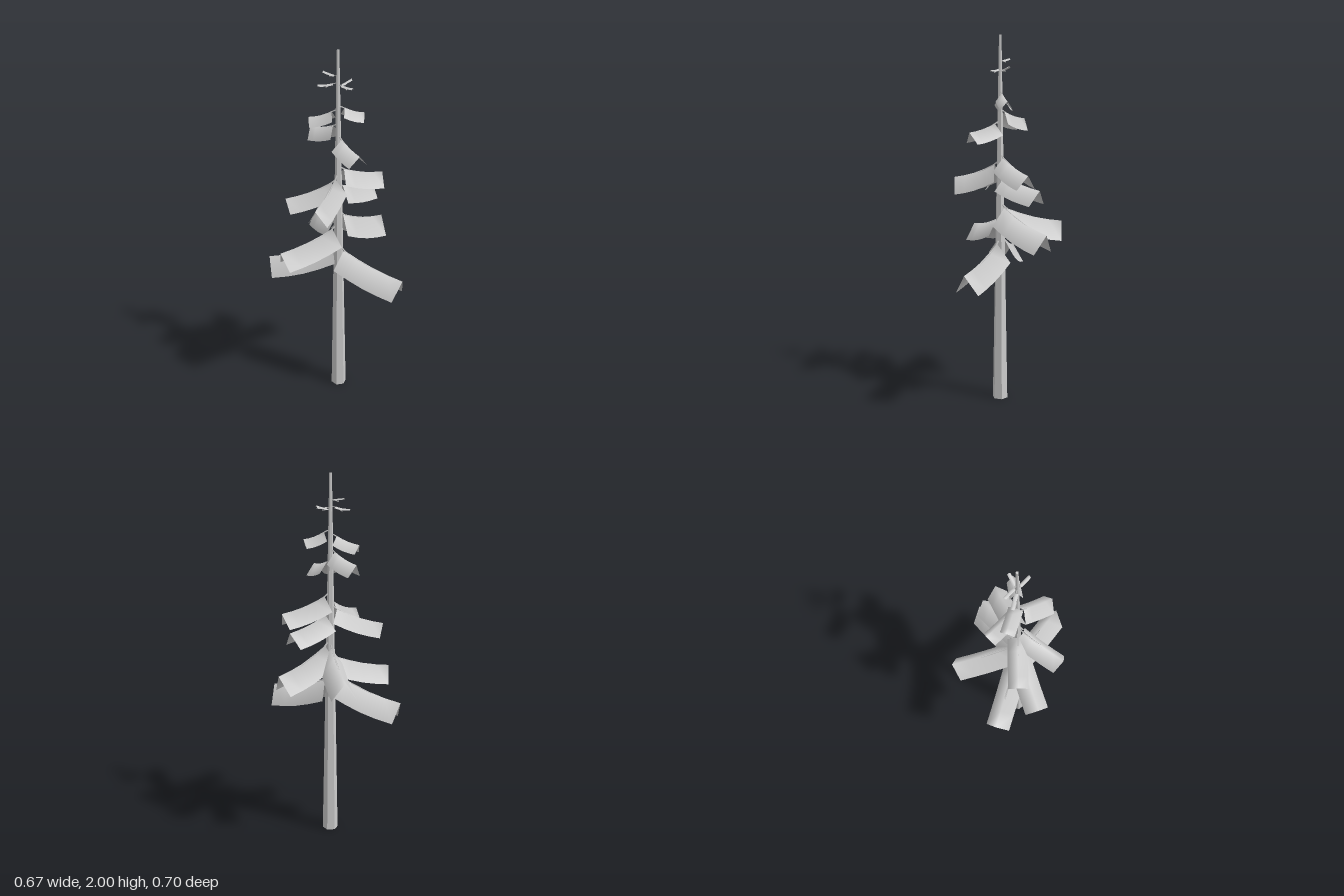
import * as THREE from 'three';

const material = new THREE.MeshStandardMaterial({ color: 0xcccccc, side: THREE.DoubleSide });
const barkMaterial = new THREE.MeshStandardMaterial({ color: 0xcccccc, flatShading: true });
const CX = -0.008, CZ = -0.022; // trunk axis

// Each branch: tip x, tip z, tip height, root height, half width, wing drop
const BRANCHES = [
  // lowest tier
  [0.118, 0.347, 0.79, 0.89, 0.067, 0.105],
  [-0.239, -0.341, 0.80, 0.93, 0.066, 0.10],
  // second tier
  [0.14, -0.352, 0.99, 1.08, 0.066, 0.10],
  [0.333, -0.033, 0.98, 1.09, 0.066, 0.10],
  [-0.334, -0.122, 0.94, 1.02, 0.065, 0.09],
  // third tier
  [0.268, -0.046, 1.205, 1.26, 0.06, 0.08],
  [0.263, 0.035, 1.29, 1.36, 0.056, 0.075],
  [-0.263, 0.083, 1.236, 1.32, 0.055, 0.09],
  [-0.237, -0.185, 1.21, 1.29, 0.053, 0.07],
  // upper tiers
  [-0.037, 0.17, 1.50, 1.54, 0.054, 0.06],
  [-0.026, -0.22, 1.555, 1.60, 0.041, 0.065],
  [-0.096, -0.152, 1.64, 1.68, 0.037, 0.045],
  [0.117, 0.043, 1.664, 1.70, 0.032, 0.045],
  // small crown sprigs
  [-0.076, -0.10, 1.82, 1.83, 0.010, 0.008],
  [0.074, -0.01, 1.84, 1.82, 0.009, 0.008],
  [0.013, 0.065, 1.82, 1.825, 0.009, 0.008],
  [-0.03, -0.11, 1.88, 1.87, 0.009, 0.008],
];

// Drooping bough: an inverted V swept along a sagging ridge, running along +z
function boughGeometry(length, tipY, rootY, half, drop) {
  const start = Math.min(0.035, length * 0.25), rows = 4;
  const pos = [], index = [];
  for (let i = 0; i <= rows; i++) {
    const t = i / rows;
    const r = start + (length - start) * t;
    const y = rootY + (tipY - rootY) * t - 0.12 * Math.abs(rootY - tipY + 0.02) * Math.sin(Math.PI * t);
    const back = r - drop * 0.28;
    pos.push(-half, y - drop, back, 0, y, r, half, y - drop, back);
    if (i < rows) {
      const a = i * 3;
      for (const k of [a, a + 1]) index.push(k, k + 3, k + 1, k + 1, k + 3, k + 4);
    }
  }
  const g = new THREE.BufferGeometry();
  g.setAttribute('position', new THREE.Float32BufferAttribute(pos, 3));
  g.setIndex(index);
  g.computeVertexNormals();
  return g;
}

// Thin twig from the trunk to below the ridge of the bough
function twigGeometry(length, tipY, rootY, half) {
  const a = new THREE.Vector3(0, rootY + 0.1 * half + (rootY - tipY) * 0.25, 0);
  const b = new THREE.Vector3(0, rootY - 0.006, Math.min(0.04, length * 0.3));
  const c = new THREE.Vector3(0, rootY + (tipY - rootY) * 0.6 - 0.018, length * 0.6);
  return new THREE.TubeGeometry(new THREE.CatmullRomCurve3([a, b, c]), 4, 0.002 + half * 0.05, 3);
}

export function createModel() {
  const group = new THREE.Group();
  group.name = 'conifer';

  // Tapered six-sided trunk
  const trunk = new THREE.Mesh(new THREE.CylinderGeometry(0.007, 0.0425, 2, 6), barkMaterial);
  trunk.name = 'trunk';
  trunk.position.set(CX, 1, CZ);
  group.add(trunk);

  // Boughs with their twigs, turned to face outwards
  BRANCHES.forEach(([x, z, tipY, rootY, half, drop], i) => {
    const dx = x - CX, dz = z - CZ, length = Math.hypot(dx, dz);
    const branch = new THREE.Group();
    branch.name = 'branch' + (i + 1);
    const bough = new THREE.Mesh(boughGeometry(length, tipY, rootY, half, drop), material);
    bough.name = 'bough';
    const twig = new THREE.Mesh(twigGeometry(length, tipY, rootY, half), material);
    twig.name = 'twig';
    branch.add(bough, twig);
    branch.position.set(CX, 0, CZ);
    branch.rotation.y = Math.atan2(dx, dz);
    group.add(branch);
  });
  return group;
}
